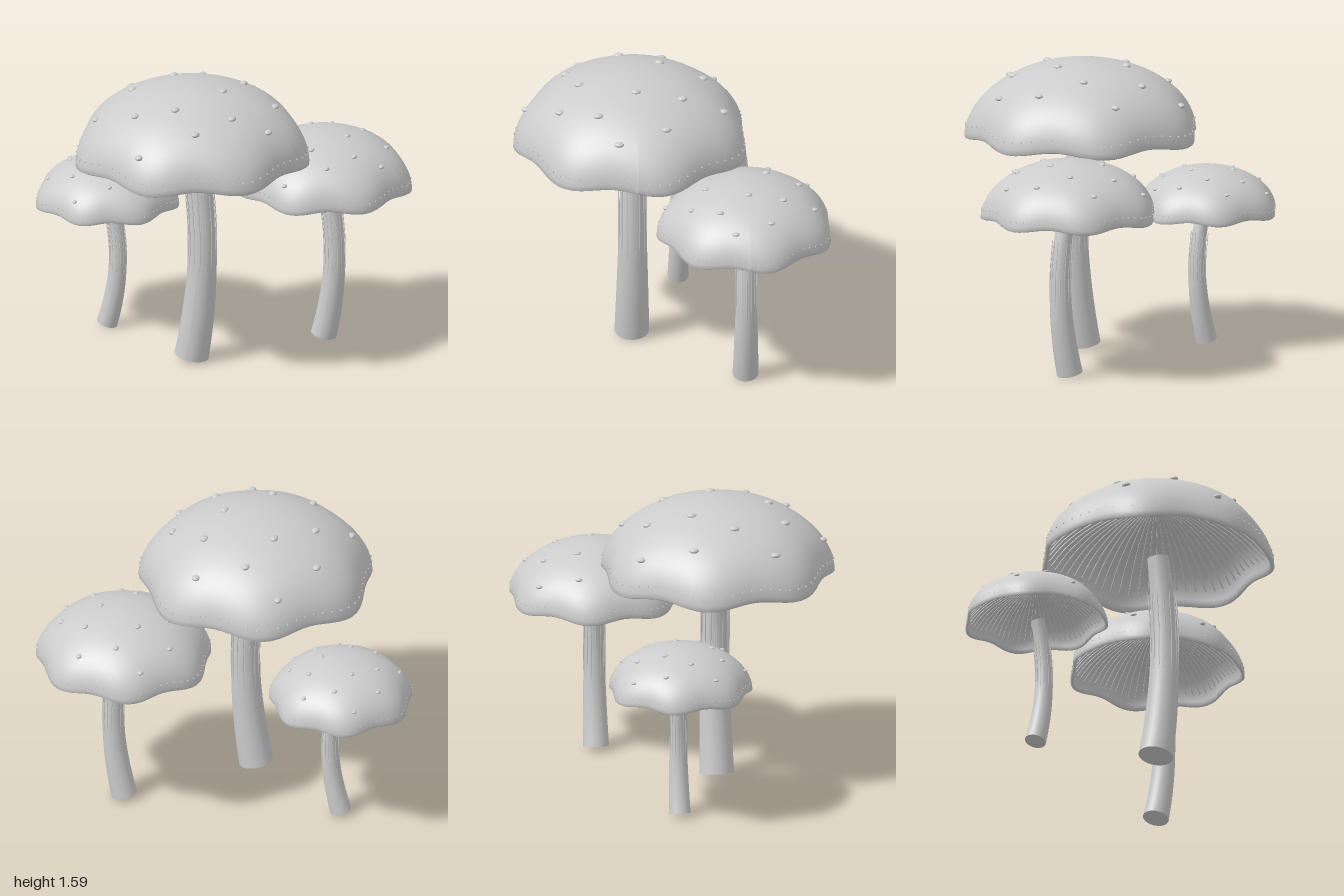
import * as THREE from 'three';

const clay = new THREE.MeshStandardMaterial({ color: 0xcccccc });
clay.name = 'pale grey';

// Cap proportions at scale 1
const R = 0.62, RIM = 1.17, H = 0.41, LOBES = 7, STEM_H = 1.2;

// Spots, as x and z offsets from the cap centre
const SPOTS = [
  [-0.315, -0.455], [-0.1, -0.39], [0.15, -0.485], [0.195, -0.26],
  [0.42, -0.16], [-0.43, -0.185], [-0.17, -0.16], [0.18, -0.01],
  [-0.325, 0.05], [0.49, 0.1], [0.32, 0.2], [-0.45, 0.255],
  [0.025, 0.285], [-0.185, 0.345], [0.19, 0.4], [-0.07, 0.565],
];

// Pushes a round cap point out into lobes and lets the rim droop under each one
function ruffle(x, y, z) {
  const k = Math.hypot(x, z) / R;
  const lobe = Math.cos(LOBES * Math.atan2(x, z));
  const f = 1 + 0.034 * k * lobe;
  return new THREE.Vector3(x * f, y - 0.015 * lobe * k ** 3, z * f);
}

function moveVertices(geometry, rule) {
  const p = geometry.attributes.position;
  for (let i = 0; i < p.count; i++) {
    const v = rule(p.getX(i), p.getY(i), p.getZ(i));
    p.setXYZ(i, v.x, v.y, v.z);
  }
  geometry.computeVertexNormals();
  return geometry;
}

function add(group, name, geometry) {
  const mesh = new THREE.Mesh(geometry, clay);
  mesh.name = name;
  group.add(mesh);
  return mesh;
}

// Hollow dome: inner shell from apex to rim, then outer shell back up
function capGeometry() {
  const profile = [];
  const n = 24;
  for (let i = 0; i <= n; i++) {
    const a = (i / n) * Math.PI / 2;
    profile.push(new THREE.Vector2((R - 0.025) * Math.sin(a), RIM + 0.005 + (H - 0.04) * Math.cos(a)));
  }
  profile.push(new THREE.Vector2(R - 0.012, RIM - 0.008));
  for (let i = n; i >= 0; i--) {
    const a = (i / n) * Math.PI / 2;
    profile.push(new THREE.Vector2(R * Math.sin(a), RIM + H * Math.cos(a)));
  }
  return moveVertices(new THREE.LatheGeometry(profile, 84, Math.PI / 2), ruffle);
}

// Thin ribs below the inner shell whose tips just break through above the rim
function addGills(group) {
  const count = 70;
  for (let i = 0; i < count; i++) {
    const phi = ((i + 0.5) / count) * Math.PI * 2;
    const points = [[0.1, 1.505], [0.25, 1.478], [0.4, 1.412], [0.52, 1.32], [0.58, 1.25], [0.618, 1.232]]
      .map(([r, y]) => ruffle(r * Math.sin(phi), y, r * Math.cos(phi)));
    add(group, 'gill', new THREE.TubeGeometry(new THREE.CatmullRomCurve3(points), 12, 0.0045, 5));
  }
  // Collar where the gills meet
  const collar = add(group, 'gillCollar', new THREE.CylinderGeometry(0.13, 0.13, 0.012, 32));
  collar.position.y = 1.505;
}

function addSpots(group) {
  const geometry = new THREE.SphereGeometry(1, 16, 10);
  for (const [x, z] of SPOTS) {
    const r = Math.hypot(x, z);
    const lobe = Math.cos(LOBES * Math.atan2(x, z));
    const k = r / (1 + 0.034 * (r / R) * lobe) / R;
    const spot = add(group, 'spot', geometry);
    spot.position.set(x, RIM + H * Math.sqrt(1 - k * k) - 0.015 * lobe * k ** 3, z);
    spot.scale.set(0.021, 0.014, 0.027);
  }
}

// Bowed, tapering stem with fine fibres standing off its upper part
function createStem(s) {
  const group = new THREE.Group();
  group.name = 'stem';
  const h = STEM_H * s;
  const axis = new THREE.QuadraticBezierCurve3(
    new THREE.Vector3(0, 0.018 * s, 0),
    new THREE.Vector3(0.12, 0.54 * h, 0),
    new THREE.Vector3(0.015, h, 0));
  const bend = (x, y, z) => {
    const t = THREE.MathUtils.clamp(y / h, 0, 1);
    const p = axis.getPoint(t), d = axis.getTangent(t);
    return new THREE.Vector3(p.x + x * d.y, p.y - x * d.x, z);
  };
  const shaft = new THREE.CylinderGeometry(0.058 * s, 0.094 * s, h, 32, 20);
  shaft.translate(0, h / 2, 0);
  // Separate cap vertices keep the end edges sharp
  add(group, 'stemShaft', moveVertices(shaft, bend));

  const fibres = 14;
  for (let i = 0; i < fibres; i++) {
    const a = (i / fibres) * Math.PI * 2;
    const points = [0.2, 0.4, 0.6, 0.81].map((t) =>
      bend(0.077 * s * Math.cos(a), t * h, 0.077 * s * Math.sin(a)));
    add(group, 'stemFibre', new THREE.TubeGeometry(new THREE.CatmullRomCurve3(points), 12, 0.0028 * s, 5));
  }
  return group;
}

function createMushroom(name, x, z, s) {
  const mushroom = new THREE.Group();
  mushroom.name = name;
  const cap = new THREE.Group();
  cap.name = 'cap';
  add(cap, 'capShell', capGeometry());
  addGills(cap);
  addSpots(cap);
  cap.scale.setScalar(s);
  mushroom.add(cap, createStem(s));
  mushroom.position.set(x, 0, z);
  return mushroom;
}

export function createModel() {
  const model = new THREE.Group();
  model.name = 'mushroomCluster';
  model.add(
    createMushroom('largeMushroom', 0, 0.19, 1),
    createMushroom('mediumMushroom', 0.53, -0.39, 0.75),
    createMushroom('smallMushroom', -0.615, -0.1, 0.613));
  return model;
}
